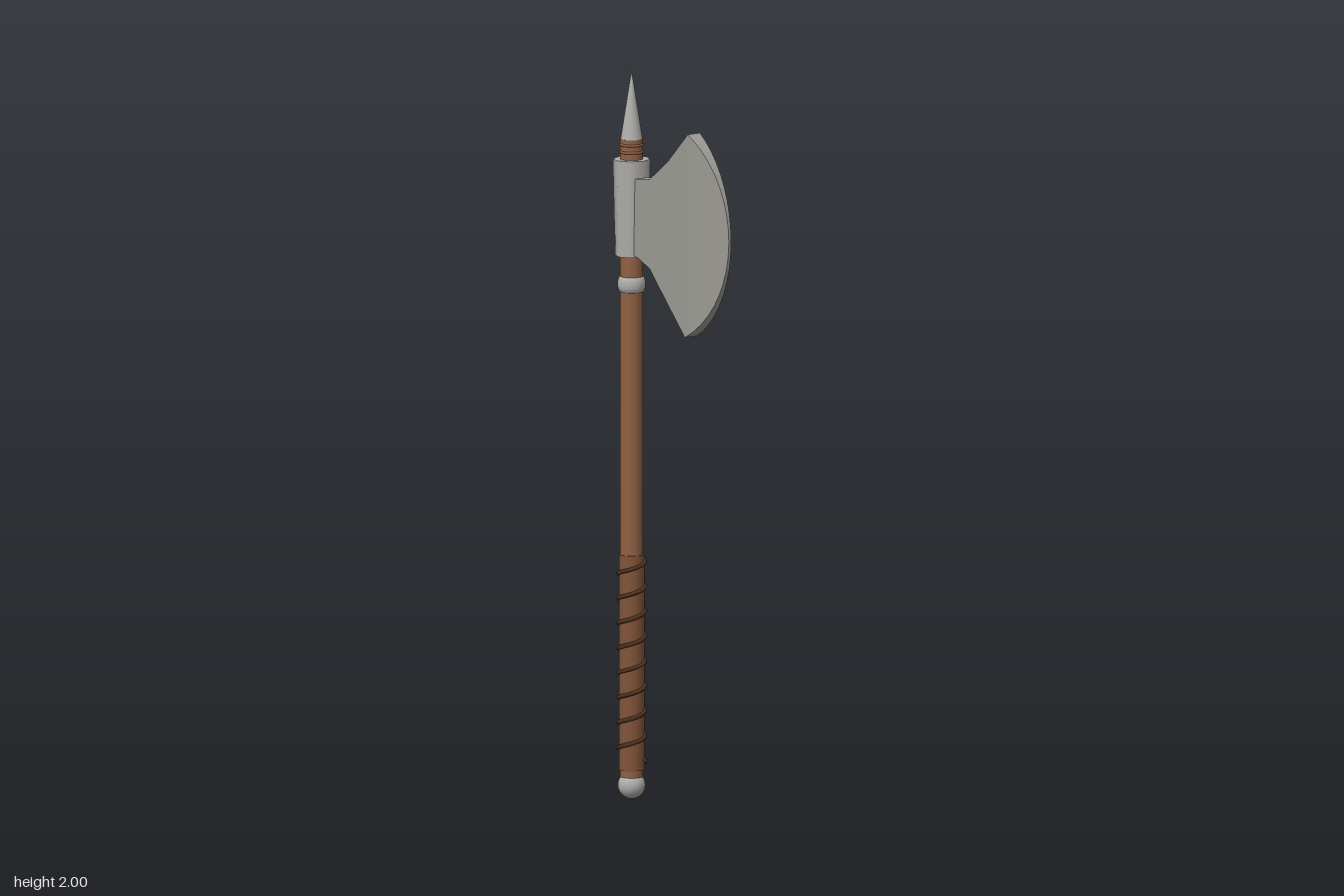
import * as THREE from 'three';

const AXIS = -0.19; // x of the shaft

function material(name, color, extra = {}) {
  return new THREE.MeshStandardMaterial({ name, color, ...extra });
}

// Blade: rectangular cross-sections lofted from the socket to the cutting edge
function bladeGeometry() {
  // [xTop, yTop, xBottom, yBottom, half thickness]
  const sections = [
    [-0.17, 1.705, -0.17, 1.5, 0.021],
    [-0.125, 1.71, -0.13, 1.49, 0.021],
    [-0.085, 1.715, -0.085, 1.47, 0.021],
    [-0.005, 1.775, -0.012, 1.39, 0.021],
  ];
  const steps = 9, cx = -0.08, cy = 1.585, r = 0.32;
  for (let i = 0; i <= steps; i++) {
    const k = 1 - i / steps;
    const a = 1.03 * k + 0.01, b = -1.075 * k - 0.01;
    const half = 0.004 + 0.017 * (1 - (cx + r * Math.cos(a) - 0.085) / 0.155);
    sections.push([
      cx + r * Math.cos(a), cy + r * Math.sin(a),
      cx + r * Math.cos(b), cy + r * Math.sin(b),
      Math.min(0.021, half),
    ]);
  }
  const rings = sections.map(([xt, yt, xb, yb, h]) => [
    [xt, yt, h], [xt, yt, -h], [xb, yb, -h], [xb, yb, h],
  ]);
  const pos = [];
  const quad = (a, b, c, d) => pos.push(...a, ...b, ...c, ...a, ...c, ...d);
  for (let i = 0; i < rings.length - 1; i++) {
    for (let j = 0; j < 4; j++) {
      const n = (j + 1) % 4;
      quad(rings[i][j], rings[i + 1][j], rings[i + 1][n], rings[i][n]);
    }
  }
  const first = rings[0], last = rings[rings.length - 1];
  quad(first[0], first[1], first[2], first[3]);
  quad(last[3], last[2], last[1], last[0]);
  const geometry = new THREE.BufferGeometry();
  geometry.setAttribute('position', new THREE.Float32BufferAttribute(pos, 3));
  geometry.computeVertexNormals();
  return geometry;
}

// Right-handed coil around the grip
class Coil extends THREE.Curve {
  getPoint(t, target = new THREE.Vector3()) {
    const a = t * 8.2 * Math.PI * 2 + 0.4;
    return target.set(0.036 * Math.cos(a), 0.1 + 0.56 * t, -0.036 * Math.sin(a));
  }
}

export function createModel() {
  const wood = material('wood', 0x8f6143);
  const leather = material('leather', 0x815439);
  const cord = material('cord', 0x4e3221);
  const steel = material('blade steel', 0x9c9b95, { flatShading: true });
  const iron = material('polished iron', 0xb0afac);

  const group = new THREE.Group();
  group.name = 'battleAxe';
  const add = (name, geometry, mat, y = 0, x = AXIS) => {
    const mesh = new THREE.Mesh(geometry, mat);
    mesh.name = name;
    mesh.position.set(x, y, 0);
    group.add(mesh);
    return mesh;
  };
  const rod = (rTop, rBottom, y0, y1, sides = 24) =>
    new THREE.CylinderGeometry(rTop, rBottom, y1 - y0, sides).translate(0, (y0 + y1) / 2, 0);

  // Handle
  add('shaft', rod(0.031, 0.031, 0.06, 1.81), wood);
  add('grip', rod(0.0345, 0.0345, 0.08, 0.67), leather);
  add('gripCord', new THREE.TubeGeometry(new Coil(), 260, 0.006, 6), cord);
  add('pommel', new THREE.SphereGeometry(0.0375, 24, 16), iron, 0.0375);

  // Rounded collar below the head
  const collar = [[0.028, -0.022], [0.034, -0.02], [0.038, -0.008], [0.038, 0.008], [0.034, 0.02], [0.028, 0.022]]
    .map(([r, y]) => new THREE.Vector2(r, y));
  add('collar', new THREE.LatheGeometry(collar, 24), iron, 1.412);

  // Head
  add('socket', rod(0.051, 0.045, 1.49, 1.755, 8), iron);
  add('blade', bladeGeometry(), steel, 0, 0);

  // Top bindings and spike
  for (const y of [1.775, 1.795]) {
    add('topBinding', new THREE.TorusGeometry(0.0295, 0.004, 6, 24).rotateX(Math.PI / 2), wood, y);
  }
  add('spike', new THREE.ConeGeometry(0.03, 0.19, 24).translate(0, 0.095, 0), iron, 1.81);

  return group;
}
